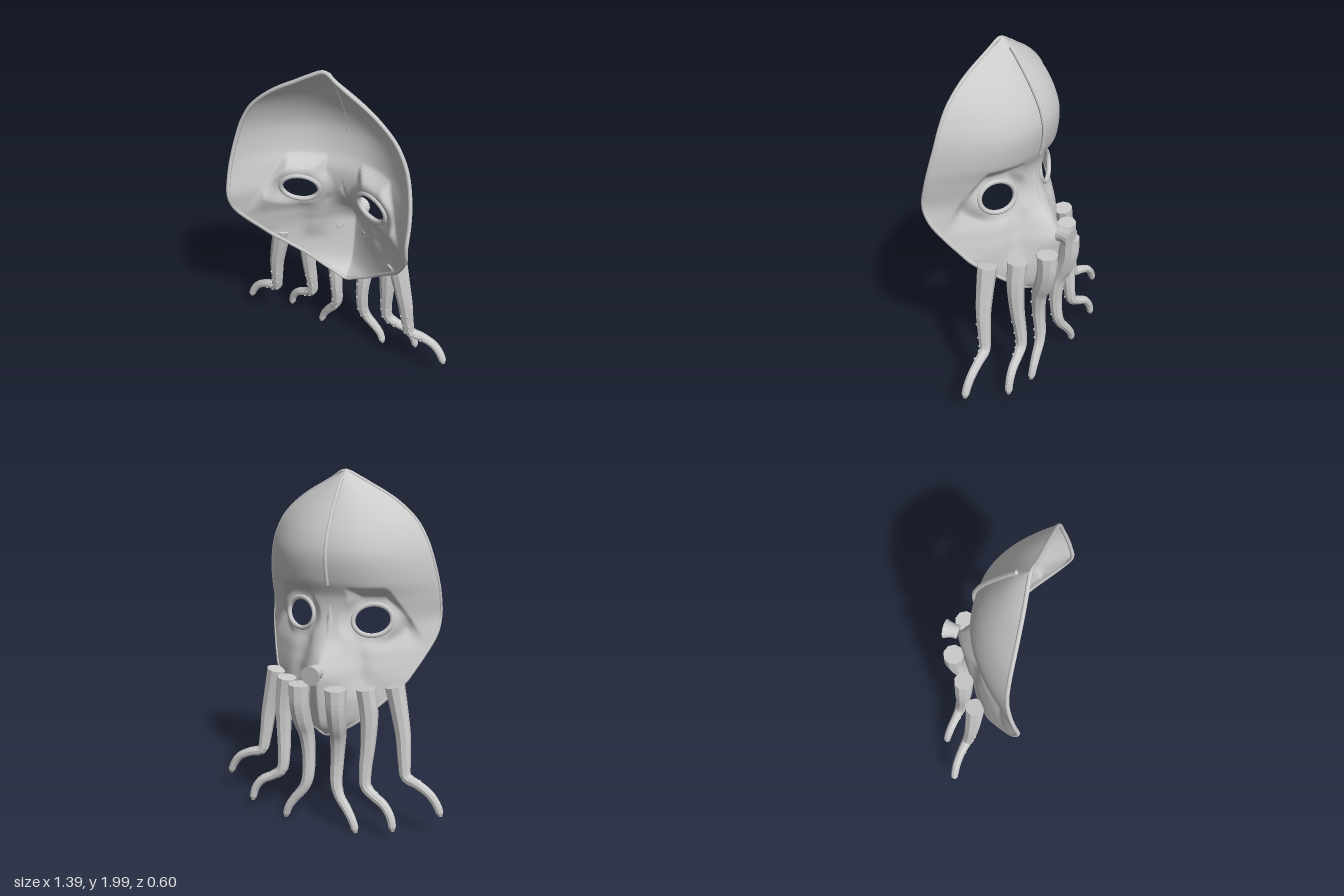
import * as THREE from 'three';

const smooth = new THREE.MeshStandardMaterial({ color: 0xcccccc, side: THREE.DoubleSide });
const faceted = new THREE.MeshStandardMaterial({ color: 0xcccccc, flatShading: true });

// Mask sections: y, half width, z of the edge, z of the centre line, curve exponent
const SECTIONS = [
  [0.53, 0, -0.085, -0.085, 1.3], [0.6, 0.14, -0.07, -0.16, 1.2], [0.7, 0.26, -0.02, -0.192, 1.15],
  [0.85, 0.405, 0.09, -0.212, 1.12], [0.92, 0.445, 0.14, -0.213, 1.15], [1.0, 0.485, 0.2, -0.17, 1.25],
  [1.1, 0.525, 0.265, -0.09, 1.6], [1.2, 0.535, 0.298, -0.045, 2.0], [1.32, 0.535, 0.275, -0.038, 2.3],
  [1.42, 0.525, 0.25, -0.072, 2.4], [1.55, 0.497, 0.222, -0.09, 2.4], [1.65, 0.46, 0.212, -0.07, 2.3],
  [1.75, 0.395, 0.207, -0.022, 2.2], [1.85, 0.275, 0.2, 0.042, 2], [1.93, 0.13, 0.187, 0.1, 1.8],
  [2.0, 0, 0.17, 0.165, 1.6],
];
const EYE = { x: 0.22, y: 1.2, rx: 0.1, ry: 0.085 };
const { clamp, smoothstep, lerp } = THREE.MathUtils;

// Smooth interpolation of one section column at height y
function section(y, col) {
  const S = SECTIONS, last = S.length - 1;
  let i = 0;
  while (i < last - 1 && y > S[i + 1][0]) i++;
  const slope = (k) => {
    const a = S[Math.max(k - 1, 0)], b = S[Math.min(k + 1, last)];
    return (b[col] - a[col]) / (b[0] - a[0]);
  };
  const h = S[i + 1][0] - S[i][0], t = clamp((y - S[i][0]) / h, 0, 1), t2 = t * t, t3 = t2 * t;
  return (2 * t3 - 3 * t2 + 1) * S[i][col] + (t3 - 2 * t2 + t) * h * slope(i)
    + (3 * t2 - 2 * t3) * S[i + 1][col] + (t3 - t2) * h * slope(i + 1);
}

// Depth of the mask, with brow sockets, creases beside the snout and flat eye surrounds
function maskPoint(x, y) {
  const w = section(y, 1), ax = Math.abs(x);
  const t = w > 1e-4 ? clamp(ax / w, 0, 1) : 0;
  const zc = section(y, 3), ze = section(y, 2);
  let z = zc + (ze - zc) * Math.pow(t, section(y, 4));
  const inside = Math.min(1.385 - y, (0.31 - ax) * 0.89 + (1.385 - y) * 0.456, ax - 0.1);
  z += 0.055 * clamp(inside / 0.05, 0, 1) * smoothstep(y, 1.0, 1.2);
  const creaseX = lerp(0.19, 0.13, clamp((y - 0.85) / 0.3, 0, 1));
  z += 0.04 * Math.exp(-(((ax - creaseX) / 0.065) ** 2)) * smoothstep(y, 0.76, 0.92) * (1 - smoothstep(y, 1.0, 1.15));
  const r = Math.hypot((ax - EYE.x) / EYE.rx, (y - EYE.y) / EYE.ry);
  const plane = 0.045 + 0.42 * (ax - EYE.x) + 0.22 * (y - EYE.y);
  return new THREE.Vector3(x, y, lerp(z, plane, 1 - smoothstep(r, 1.1, 1.75)));
}

// Face shell: a grid of rows with the eye openings cut out
function faceGeometry(rows = 110, cols = 96) {
  const pos = [], idx = [], open = [];
  for (let i = 0; i <= rows; i++) {
    const y0 = 2 - (1.47 * i) / rows, w = Math.max(section(y0, 1), 0);
    for (let j = 0; j <= cols; j++) {
      let x = w * ((2 * j) / cols - 1), y = y0;
      const cx = EYE.x * Math.sign(x);
      const r = Math.hypot((x - cx) / EYE.rx, (y - EYE.y) / EYE.ry);
      open.push(r < 1);
      if (r < 1 && r > 1e-3) {
        x = cx + (x - cx) / r;
        y = EYE.y + (y - EYE.y) / r;
      }
      pos.push(...maskPoint(x, y).toArray());
    }
  }
  const quad = (a, b, c, d) => {
    if (!(open[a] && open[b] && open[c] && open[d])) idx.push(a, b, c, b, d, c);
  };
  for (let i = 0; i < rows; i++)
    for (let j = 0; j < cols; j++) {
      const a = i * (cols + 1) + j;
      quad(a, a + 1, a + cols + 1, a + cols + 2);
    }
  const g = new THREE.BufferGeometry();
  g.setAttribute('position', new THREE.Float32BufferAttribute(pos, 3));
  g.setIndex(idx);
  g.computeVertexNormals();
  return g;
}

// Capped loft along a path; each point is [x, y, z, radius]
function loft(points, steps, sides) {
  const curve = new THREE.CatmullRomCurve3(points.map((p) => new THREE.Vector3(p[0], p[1], p[2])));
  const radii = new THREE.CatmullRomCurve3(points.map((p, i) => new THREE.Vector3(p[3], i, 0)));
  const frames = curve.computeFrenetFrames(steps);
  const pos = [], idx = [];
  for (let i = 0; i <= steps; i++) {
    const u = curve.getUtoTmapping(i / steps), c = curve.getPoint(u), r = radii.getPoint(u).x;
    for (let j = 0; j < sides; j++) {
      const a = (j / sides) * Math.PI * 2;
      const p = c.clone().addScaledVector(frames.normals[i], r * Math.cos(a))
        .addScaledVector(frames.binormals[i], r * Math.sin(a));
      pos.push(p.x, p.y, p.z);
    }
  }
  const first = pos.length / 3;
  pos.push(...curve.getPoint(0).toArray(), ...curve.getPoint(1).toArray());
  for (let j = 0; j < sides; j++) {
    const k = (j + 1) % sides, e = steps * sides;
    idx.push(first, k, j, first + 1, e + j, e + k);
    for (let i = 0; i < steps; i++) {
      const a = i * sides + j, b = i * sides + k;
      idx.push(a, b, a + sides, b, b + sides, a + sides);
    }
  }
  const g = new THREE.BufferGeometry();
  g.setAttribute('position', new THREE.Float32BufferAttribute(pos, 3));
  g.setIndex(idx);
  const flat = g.toNonIndexed();
  flat.computeVertexNormals();
  return { geometry: flat, curve, radii };
}

// Tentacle paths on the +x side
const TENTACLES = {
  outer: [[0.372, 0.85, 0.008, 0.057], [0.4, 0.72, 0.006, 0.051], [0.43, 0.57, 0, 0.044], [0.447, 0.42, -0.015, 0.037],
    [0.465, 0.335, -0.028, 0.032], [0.535, 0.312, -0.042, 0.027], [0.61, 0.272, -0.05, 0.025],
    [0.655, 0.215, -0.05, 0.024], [0.676, 0.165, -0.05, 0.021], [0.678, 0.152, -0.05, 0.012]],
  middle: [[0.245, 0.85, -0.102, 0.057], [0.265, 0.7, -0.102, 0.052], [0.265, 0.52, -0.112, 0.043], [0.258, 0.38, -0.128, 0.037],
    [0.268, 0.285, -0.14, 0.033], [0.32, 0.245, -0.152, 0.028], [0.385, 0.21, -0.165, 0.026],
    [0.43, 0.15, -0.175, 0.024], [0.446, 0.085, -0.18, 0.021], [0.447, 0.072, -0.18, 0.012]],
  inner: [[0.11, 0.86, -0.207, 0.061], [0.112, 0.75, -0.207, 0.058], [0.108, 0.65, -0.184, 0.054], [0.1, 0.56, -0.15, 0.047],
    [0.09, 0.42, -0.138, 0.04], [0.092, 0.27, -0.152, 0.035], [0.115, 0.205, -0.162, 0.03], [0.165, 0.14, -0.172, 0.027],
    [0.203, 0.08, -0.18, 0.024], [0.222, 0.022, -0.18, 0.021], [0.224, 0.01, -0.18, 0.012]],
};

function tentacle(points, side, name) {
  const group = new THREE.Group();
  group.name = name;
  const { geometry, curve, radii } = loft(points.map(([x, ...rest]) => [x * side, ...rest]), 36, 9);
  const add = (g, n) => {
    const m = new THREE.Mesh(g, faceted);
    m.name = n;
    group.add(m);
    return m;
  };
  add(geometry, 'tentacleArm');
  // Two rows of suckers on the inner face
  const bump = new THREE.SphereGeometry(0.008, 6, 5);
  for (let i = 0; i < 5; i++) {
    const t = 0.28 + i * 0.07, c = curve.getPoint(t), r = radii.getPoint(t).x, d = curve.getTangent(t);
    const across = new THREE.Vector3(-d.y, d.x, 0).normalize();
    for (const s of [-1, 1])
      add(bump, 'sucker').position.copy(c).addScaledVector(across, s * r * 0.5)
        .add(new THREE.Vector3(0, 0, r * 0.83));
  }
  return group;
}

export function createModel() {
  const model = new THREE.Group();
  model.name = 'tentacledMask';
  const add = (geometry, name, material = smooth) => {
    const m = new THREE.Mesh(geometry, material);
    m.name = name;
    model.add(m);
  };
  const tube = (pts, n, r) =>
    new THREE.TubeGeometry(new THREE.CatmullRomCurve3(pts, true), n, r, 8, true);

  add(faceGeometry(), 'faceShell');

  // Rolled rim around the outline
  const half = [];
  for (let i = 0; i <= 40; i++) {
    const y = 0.535 + (1.455 * i) / 40;
    half.push(new THREE.Vector3(Math.max(section(y, 1) - 0.008, 0), y, section(y, 2)));
  }
  const mirrored = half.slice(1, -1).reverse().map((p) => new THREE.Vector3(-p.x, p.y, p.z));
  add(tube([...half, ...mirrored], 200, 0.011), 'maskRim');

  // Eye rings
  for (const s of [-1, 1]) {
    const ring = [];
    for (let i = 0; i < 28; i++) {
      const a = (i / 28) * Math.PI * 2;
      ring.push(maskPoint(s * EYE.x + EYE.rx * Math.cos(a), EYE.y + EYE.ry * Math.sin(a)));
    }
    add(tube(ring, 56, 0.014), s > 0 ? 'leftEyeRing' : 'rightEyeRing');
  }

  // Crest down the outside of the forehead
  const crest = [];
  for (let i = 0; i <= 12; i++) {
    const p = maskPoint(0, 1.95 - (0.55 * i) / 12);
    crest.push([0, p.y + 0.004 * (1 - i / 12), p.z - 0.007 - 0.005 * (i / 12), 0.011]);
  }
  add(loft(crest, 30, 8).geometry, 'foreheadCrest', faceted);

  // Flared snout spout
  const spout = [[0, 0.945, -0.21, 0.042], [0, 0.948, -0.245, 0.043], [0, 0.943, -0.29, 0.057]];
  add(loft(spout, 6, 14).geometry, 'snoutSpout', faceted);

  for (const [name, points] of Object.entries(TENTACLES))
    for (const s of [-1, 1]) model.add(tentacle(points, s, `${name}Tentacle${s > 0 ? 'Left' : 'Right'}`));

  return model;
}
